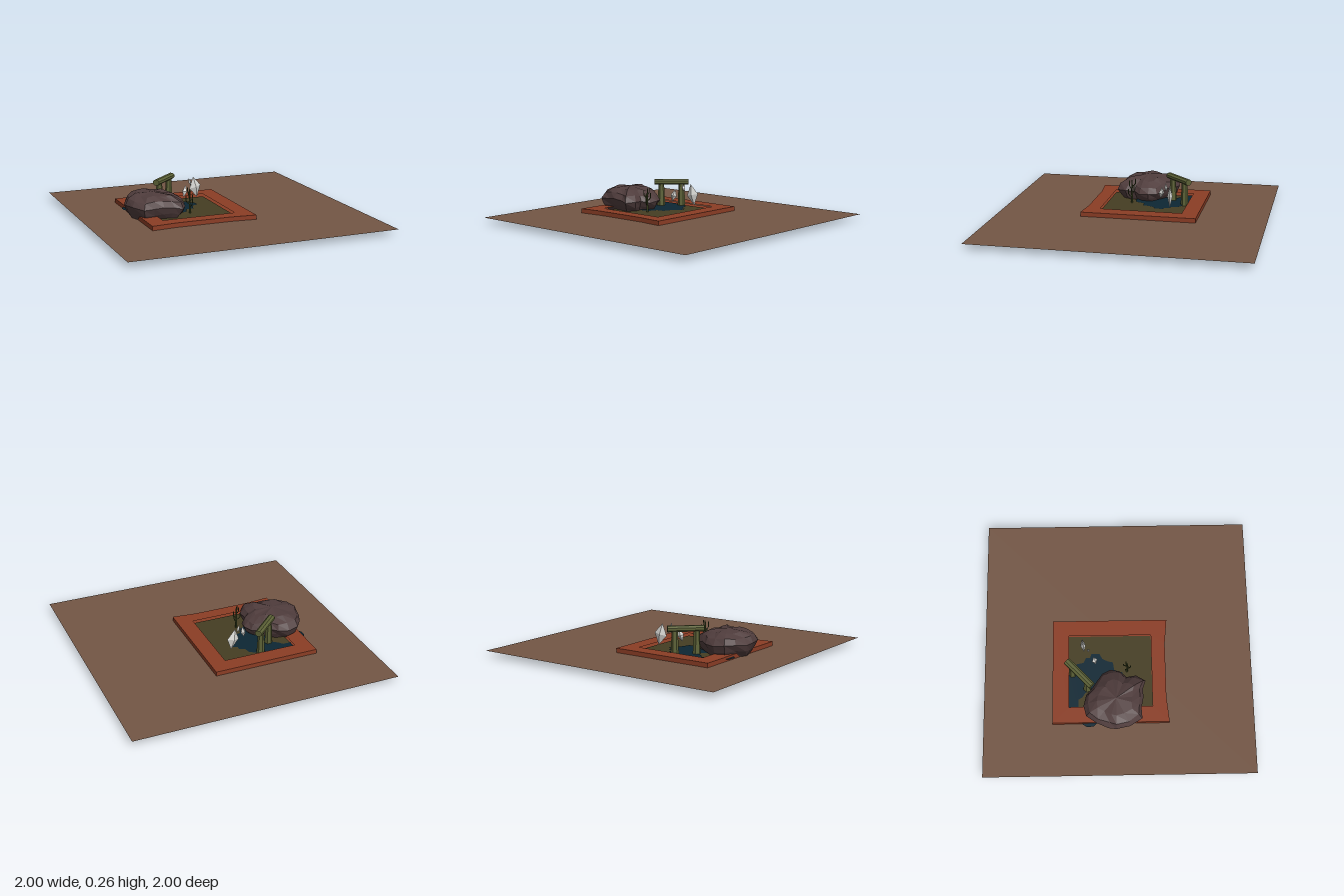
import * as THREE from 'three';

const mat = (name, color, side = THREE.FrontSide) => {
  const m = new THREE.MeshStandardMaterial({ color, side, flatShading: true });
  m.name = name;
  return m;
};

// Shape from [x, z] plan points, to be laid flat
const plan = (pts) => new THREE.Shape(pts.map(([x, z]) => new THREE.Vector2(x, -z)));

export function createModel() {
  const group = new THREE.Group();
  const earth = mat('earth brown', 0x735645, THREE.DoubleSide);
  const clay = mat('frame red', 0x8b3d25);
  const moss = mat('ground olive', 0x453d22);
  const water = mat('water blue', 0x0d2734, THREE.DoubleSide);
  const stone = mat('boulder brown', 0x4f3c3c, THREE.DoubleSide);
  const green = mat('mossy stone', 0x5c6136);
  const leaf = mat('plant green', 0x3f4a22);
  const white = mat('crystal white', 0xd6d6d2);

  const add = (name, geo, m, x = 0, y = 0, z = 0, parent = group) => {
    const mesh = new THREE.Mesh(geo, m);
    mesh.name = name;
    mesh.position.set(x, y, z);
    parent.add(mesh);
    return mesh;
  };
  const slab = (name, shape, depth, m, y) =>
    add(name, new THREE.ExtrudeGeometry(shape, { depth, bevelEnabled: false }).rotateX(-Math.PI / 2), m, 0, y);
  const sheet = (name, pts, m, y) =>
    add(name, new THREE.ShapeGeometry(plan(pts)).rotateX(-Math.PI / 2), m, 0, y);

  // Wide ground sheet
  add('groundSheet', new THREE.PlaneGeometry(2, 2).rotateX(-Math.PI / 2), earth, 0, 0.042);

  // Tray: solid base, raised rim and soil inside
  const outline = [[-0.61, -0.49], [0.19, -0.49], [0.19, 0.372], [0, 0.353], [-0.42, 0.353], [-0.61, 0.372]];
  const inner = [[-0.49, -0.37], [0.07, -0.37], [0.07, 0.25], [-0.49, 0.25]];
  slab('trayBase', plan(outline), 0.035, clay, 0.01);
  const rim = plan(outline);
  rim.holes.push(plan(inner));
  slab('trayRim', rim, 0.03, clay, 0.045);
  sheet('soil', inner, moss, 0.055);

  // Pond with a ragged shore, and a sliver escaping beside the tray
  sheet('pond', [
    [-0.49, -0.37], [-0.21, -0.37], [-0.19, -0.33], [-0.15, -0.31], [-0.14, -0.26], [-0.1, -0.24],
    [-0.1, -0.21], [-0.07, -0.2], [-0.07, -0.14], [-0.11, -0.12], [-0.13, -0.08], [-0.14, -0.04],
    [-0.2, -0.03], [-0.22, 0.03], [-0.28, 0.05], [-0.4, 0], [-0.4, -0.18], [-0.35, -0.22],
    [-0.38, -0.25], [-0.41, -0.27], [-0.43, -0.3], [-0.49, -0.3],
  ], water, 0.059);
  sheet('pondOverflow', [[-0.6, -0.275], [-0.615, -0.275], [-0.637, -0.24], [-0.637, -0.19], [-0.6, -0.15]], water, 0.059);

  // Boulder: scaled copies of one plan outline, stacked and capped
  const edge = [
    [-0.22, -0.06], [-0.25, -0.12], [-0.31, -0.16], [-0.36, -0.19], [-0.42, -0.24], [-0.5, -0.26], [-0.58, -0.24],
    [-0.63, -0.17], [-0.67, -0.08], [-0.68, -0.02], [-0.66, 0.08], [-0.6, 0.17], [-0.52, 0.165], [-0.45, 0.18],
    [-0.37, 0.18], [-0.31, 0.2], [-0.27, 0.13], [-0.28, 0.06], [-0.23, 0.01],
  ];
  const levels = [[0.04, 0.74], [0.09, 0.9], [0.14, 1], [0.185, 0.88], [0.214, 0.6]];
  const cx = -0.47, cz = -0.02, n = edge.length;
  const pos = [], idx = [];
  levels.forEach(([y, s], r) => edge.forEach(([x, z], i) => {
    const k = r === 2 ? 1 : s * (1 + 0.035 * Math.sin(i * 2.3 + r * 1.7));
    const px = cx + (x - cx) * k, pz = cz + (z - cz) * k;
    const drop = 1 - 0.9 * Math.max(0, px + 0.38);
    pos.push(px, y * drop + (r > 0 ? 0.006 * Math.sin(i * 1.9 + r) : 0), pz);
  }));
  for (let r = 0; r < levels.length - 1; r++) {
    for (let i = 0; i < n; i++) {
      const a = r * n + i, b = r * n + (i + 1) % n;
      idx.push(a, b, a + n, b, b + n, a + n);
    }
  }
  pos.push(cx, 0.226, cz, -0.33, 0, 0);
  const top = levels.length * n, last = top - n;
  for (let i = 0; i < n; i++) {
    const j = (i + 1) % n;
    idx.push(last + i, last + j, top, j, i, top + 1);
  }
  const rock = new THREE.BufferGeometry();
  rock.setAttribute('position', new THREE.Float32BufferAttribute(pos, 3));
  rock.setIndex(idx);
  const rockGeo = rock.toNonIndexed();
  rockGeo.computeVertexNormals();
  add('boulder', rockGeo, stone);

  // Stone gateway: two tapered posts and a lintel
  const gate = new THREE.Group();
  gate.name = 'stoneGateway';
  gate.position.set(-0.283, 0, -0.287);
  gate.rotation.y = 0.76;
  group.add(gate);
  for (const s of [-1, 1]) {
    const post = add('gatePost', new THREE.CylinderGeometry(0.022, 0.03, 0.175, 6), green, s * 0.079, 0.14, 0, gate);
    post.rotation.y = s * 0.4;
  }
  const beam = new THREE.CylinderGeometry(0.03, 0.03, 0.265, 8).rotateZ(Math.PI / 2).rotateX(Math.PI / 8);
  add('gateLintel', beam.scale(1, 0.78, 0.95), green, 0, 0.243, 0, gate);

  // Floating crystals: thin faceted diamonds
  const crystals = [
    [-0.04, 0.168, -0.26, 0.05, 0.083, 0.02, 0.15, 0.2],
    [-0.158, 0.16, -0.175, 0.024, 0.05, 0.022, 0.5, -0.25],
    [-0.098, 0.219, -0.22, 0.013, 0.033, 0.012, 0.3, 0.35],
  ];
  for (const [x, y, z, w, h, d, ry, rz] of crystals) {
    const c = add('crystal', new THREE.OctahedronGeometry(1).scale(w, h, d), white, x, y, z);
    c.rotation.set(0, ry, rz);
  }

  // Spiky plant: stalk and upturned side shoots
  const plant = new THREE.Group();
  plant.name = 'spikyPlant';
  plant.position.set(-0.21, 0.055, 0.065);
  group.add(plant);
  add('stalk', new THREE.CylinderGeometry(0.004, 0.008, 0.18, 5), leaf, 0, 0.09, 0, plant);
  for (let i = 0; i < 5; i++) {
    const a = i * 2.4 + 1.2, h = 0.05 + 0.02 * i;
    const path = new THREE.CatmullRomCurve3([
      new THREE.Vector3(0, h, 0),
      new THREE.Vector3(Math.cos(a) * 0.024, h + 0.015, Math.sin(a) * 0.024),
      new THREE.Vector3(Math.cos(a) * 0.028, h + 0.06, Math.sin(a) * 0.028),
    ]);
    add('shoot', new THREE.TubeGeometry(path, 4, 0.004, 4), leaf, 0, 0, 0, plant);
  }
  return group;
}
